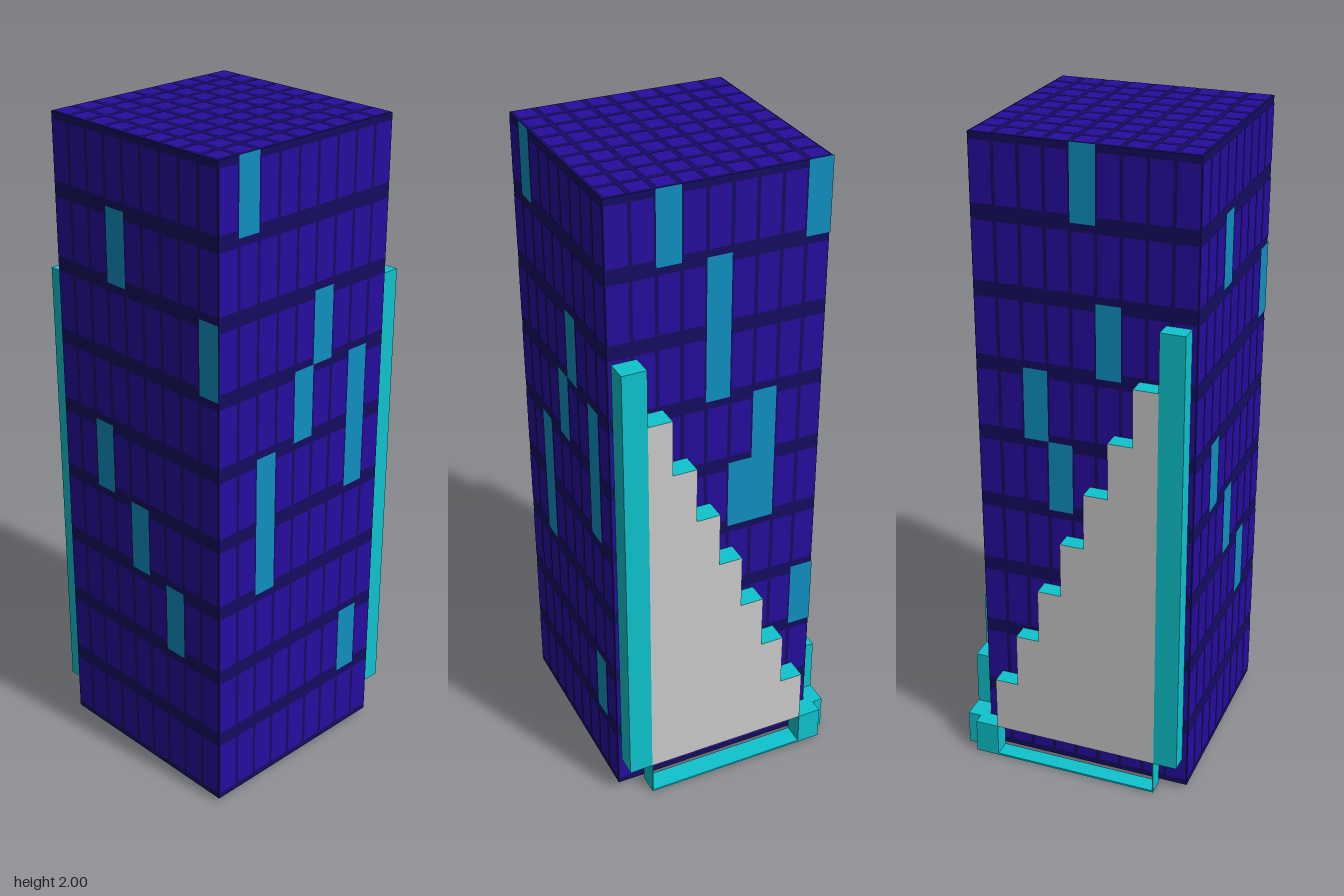
import * as THREE from 'three';
import { mergeGeometries } from 'three/addons/utils/BufferGeometryUtils.js';

const N = 9;                     // rows and columns of cells on every face
const SIDE = 0.662, HALF = SIDE / 2;
const BOTTOM = 0.012, TOP = 2;
const CELL = SIDE / N, FLOOR = (TOP - BOTTOM) / N;
const CX = -0.034, CZ = 0.026;   // tower axis
const SKIN = 0.002;              // panels stand this far off the core

const paint = (color) => new THREE.MeshStandardMaterial({ color });
const dark = paint(0x140c60);
const violet = paint(0x270c9e);
const blue = paint(0x0f90c0);
const cyan = paint(0x0ec4ce);
const grey = paint(0xcccccc);

function add(parent, name, geometry, material) {
  const mesh = new THREE.Mesh(geometry, material);
  mesh.name = name;
  parent.add(mesh);
  return mesh;
}

const cellU = (col) => -HALF + (col + 0.5) * CELL;
const cellY = (row) => TOP - (row + 0.5) * FLOOR;

// One wall of window panels, facing local +z; lit cells are [column, row from the top]
function buildWall(name, angle, lit) {
  const wall = new THREE.Group();
  wall.name = name;
  wall.rotation.y = angle;
  const plain = [], bright = [];
  for (let row = 0; row < N; row++) {
    for (let col = 0; col < N; col++) {
      const isLit = lit.some(([c, r]) => c === col && r === row);
      const panel = isLit
        ? new THREE.PlaneGeometry(CELL, FLOOR)
        : new THREE.PlaneGeometry(CELL - 0.011, FLOOR - 0.046);
      panel.translate(cellU(col), cellY(row), HALF);
      (isLit ? bright : plain).push(panel);
    }
  }
  add(wall, 'windows', mergeGeometries(plain), violet);
  add(wall, 'litWindows', mergeGeometries(bright), blue);
  return wall;
}

// Square tiles on the roof or the underside
function buildTiles(name, y, up) {
  const tiles = [];
  for (let i = 0; i < N; i++) {
    for (let j = 0; j < N; j++) {
      const tile = new THREE.PlaneGeometry(CELL - 0.014, CELL - 0.014);
      tile.rotateX(up ? -Math.PI / 2 : Math.PI / 2);
      tile.translate(cellU(i), y, cellU(j));
      tiles.push(tile);
    }
  }
  const mesh = new THREE.Mesh(mergeGeometries(tiles), violet);
  mesh.name = name;
  return mesh;
}

// Stepped buttress on a wall: tall column at `start`, descending along `dir`
function buildButtress(name, angle, start, dir, depth) {
  const wing = new THREE.Group();
  wing.name = name;
  wing.rotation.y = angle;
  const step = 0.0742, rise = 0.1768, foot = 0.11, peak = 1.525;
  const u = (i) => start + dir * i * step;
  const box = (part, i0, i1, y0, y1) => {
    const g = new THREE.BoxGeometry(Math.abs(u(i1) - u(i0)), y1 - y0, depth);
    g.translate((u(i0) + u(i1)) / 2, (y0 + y1) / 2, HALF + depth / 2);
    add(wing, part, g, cyan);
  };

  box('tallColumn', 0, 1, foot, peak);
  box('footBlock', 8, 9, 0, foot);
  box('baseLedge', 1, 8, 0, 0.006);
  box('ledgeEnd', 1, 1.04, 0.006, foot);

  // Staircase: grey face, cyan treads and risers
  const outline = [new THREE.Vector2(u(8), foot), new THREE.Vector2(u(1), foot)];
  for (let i = 1; i < 8; i++) {
    outline.push(new THREE.Vector2(u(i), peak - i * rise));
    outline.push(new THREE.Vector2(u(i + 1), peak - i * rise));
  }
  const stairs = new THREE.ExtrudeGeometry(new THREE.Shape(outline), { depth, bevelEnabled: false });
  stairs.translate(0, 0, HALF);
  add(wing, 'steppedPanel', stairs, [grey, cyan]);
  return wing;
}

export function createModel() {
  const model = new THREE.Group();
  model.name = 'tower';
  const tower = new THREE.Group();
  tower.name = 'towerBody';
  tower.position.set(CX, 0, CZ);
  model.add(tower);

  // Dark core showing between the panels
  const w = SIDE - 2 * SKIN;
  const core = new THREE.BoxGeometry(w, TOP - BOTTOM - 2 * SKIN, w);
  add(tower, 'core', core, dark).position.y = (TOP + BOTTOM) / 2;

  // Four walls with their lit windows
  tower.add(
    buildWall('frontWall', 0,
      [[1, 0], [5, 2], [4, 3], [7, 3], [7, 4], [2, 4], [2, 5], [7, 7]]),
    buildWall('leftWall', Math.PI / 2,
      [[2, 0], [8, 0], [4, 1], [4, 2], [6, 3], [6, 4], [5, 4], [8, 6]]),
    buildWall('backWall', Math.PI,
      [[4, 0], [5, 2], [2, 3], [3, 4]]),
    buildWall('rightWall', -Math.PI / 2,
      [[3, 1], [8, 2], [2, 4], [4, 5], [6, 6]]),
    buildTiles('roofTiles', TOP, true),
    buildTiles('undersideTiles', BOTTOM, false)
  );

  // Buttresses on two neighbouring walls, both descending to the shared corner
  tower.add(
    buildButtress('leftButtress', Math.PI / 2, -0.317, 1, 0.066),
    buildButtress('backButtress', Math.PI, 0.313, -1, 0.053)
  );
  return model;
}
